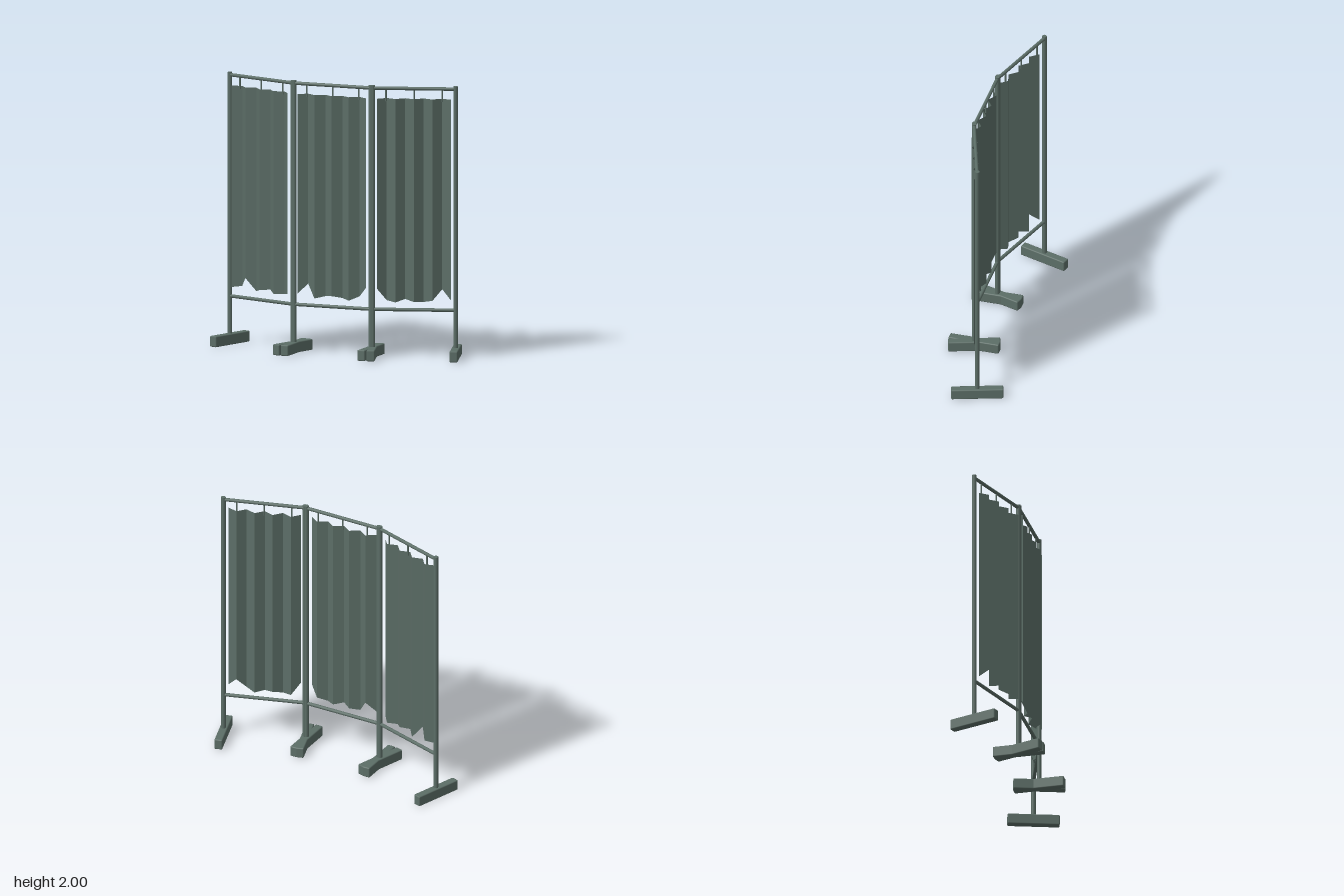
import * as THREE from 'three';
import { RoundedBoxGeometry } from 'three/addons/geometries/RoundedBoxGeometry.js';

const HALF = 0.302;      // post offset from panel centre
const ANGLE = Math.PI / 10;

export function createModel() {
  const paint = new THREE.MeshStandardMaterial({ color: 0x5c6e67 });
  paint.name = 'greyGreen';
  const cloth = new THREE.MeshStandardMaterial({ color: 0x5c6e67, side: THREE.DoubleSide });
  cloth.name = 'greyGreenCloth';

  const add = (parent, name, geometry, material, x, y, z) => {
    const mesh = new THREE.Mesh(geometry, material);
    mesh.name = name;
    mesh.position.set(x, y, z);
    parent.add(mesh);
    return mesh;
  };

  const post = new THREE.CylinderGeometry(0.017, 0.017, 1.96, 12);
  const rail = new THREE.CylinderGeometry(0.013, 0.013, HALF * 2, 12).rotateZ(Math.PI / 2);
  const hook = new THREE.CylinderGeometry(0.006, 0.006, 0.09, 8);
  const foot = new RoundedBoxGeometry(0.06, 0.08, 0.38, 1, 0.008);

  // Pleated sheet with a ragged lower hem, one height per fold line
  const curtain = (hem) => {
    const point = (i, y) => [-0.27 + i * 0.0675, y, i % 2 ? -0.022 : 0.022];
    const pos = [];
    for (let i = 0; i < 8; i++) {
      const a = point(i, hem[i]), b = point(i + 1, hem[i + 1]);
      const c = point(i + 1, 1.905), d = point(i, 1.905);
      pos.push(...a, ...b, ...c, ...a, ...c, ...d);
    }
    const geometry = new THREE.BufferGeometry();
    geometry.setAttribute('position', new THREE.Float32BufferAttribute(pos, 3));
    geometry.computeVertexNormals();
    return geometry;
  };

  const panel = (name, x, z, turn, hem) => {
    const g = new THREE.Group();
    g.name = name;
    g.position.set(x, 0, z);
    g.rotation.y = turn;
    for (const s of [-1, 1]) {
      add(g, 'post', post, paint, s * HALF, 1.02, 0);
      add(g, 'foot', foot, paint, s * HALF, 0.04, 0);
    }
    add(g, 'topRail', rail, paint, 0, 1.98, 0);
    add(g, 'bottomRail', rail, paint, 0, 0.355, 0);
    for (const hx of [-0.205, 0, 0.205]) add(g, 'curtainHook', hook, paint, hx, 1.93, 0);
    add(g, 'curtain', curtain(hem), cloth, 0, 0, 0);
    return g;
  };

  const model = new THREE.Group();
  model.name = 'foldingScreen';
  model.add(
    panel('rightPanel', -0.602, 0, -ANGLE, [0.425, 0.435, 0.505, 0.41, 0.43, 0.435, 0.415, 0.415, 0.43]),
    panel('centrePanel', 0, 0.095, 0, [0.435, 0.51, 0.41, 0.425, 0.435, 0.42, 0.41, 0.44, 0.51]),
    panel('leftPanel', 0.602, 0, ANGLE, [0.51, 0.42, 0.41, 0.43, 0.415, 0.41, 0.425, 0.505, 0.43])
  );
  return model;
}
